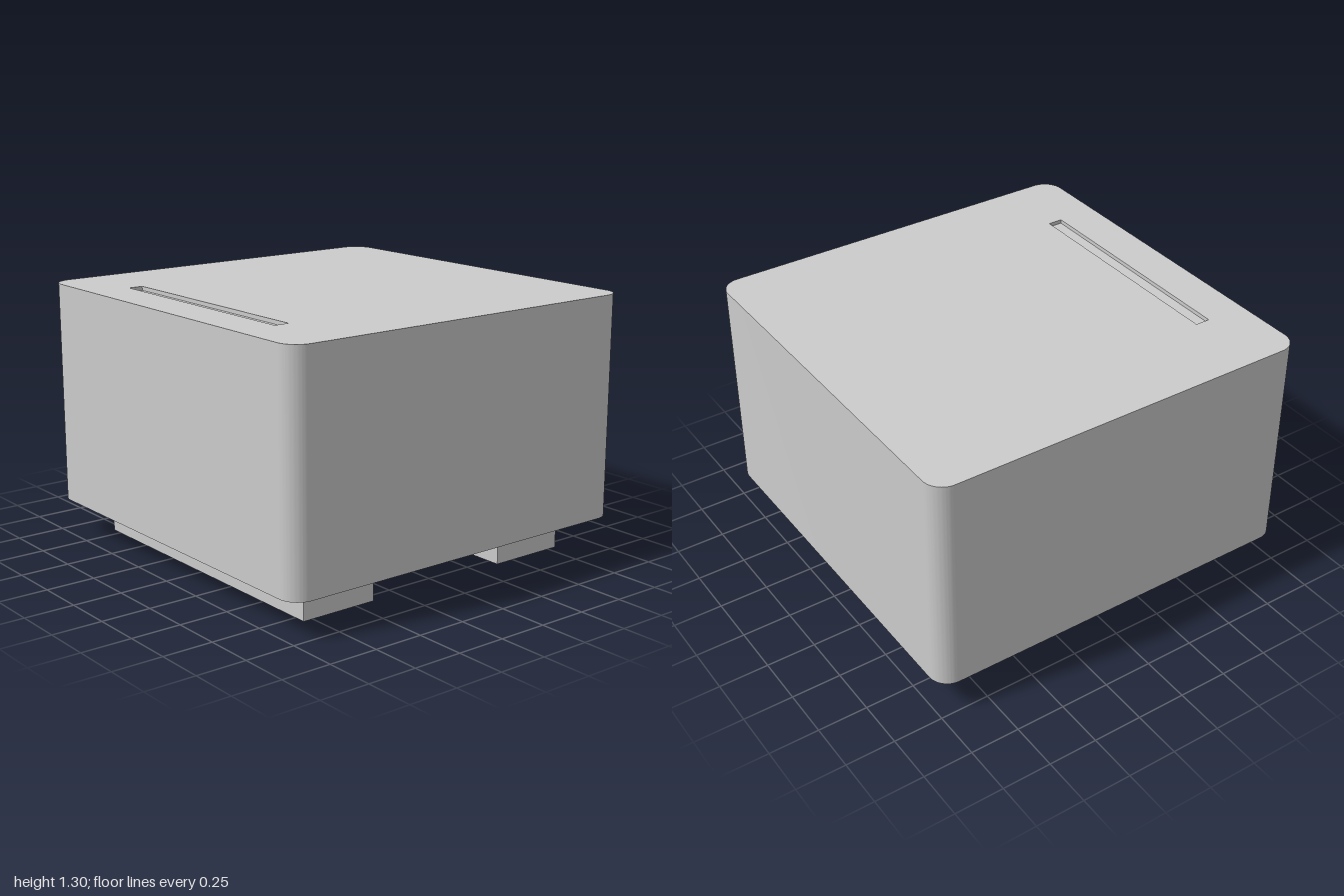
import * as THREE from 'three';
import { toCreasedNormals } from 'three/addons/utils/BufferGeometryUtils.js';

const BOTTOM = 0.18, TOP = 1.305, SLOT_DEPTH = 0.02;

// Square plan with rounded corners
function roundedSquare(h, r) {
  const s = new THREE.Shape();
  s.absarc(h - r, h - r, r, 0, Math.PI / 2);
  s.absarc(-h + r, h - r, r, Math.PI / 2, Math.PI);
  s.absarc(-h + r, -h + r, r, Math.PI, Math.PI * 1.5);
  s.absarc(h - r, -h + r, r, Math.PI * 1.5, Math.PI * 2);
  s.closePath();
  return s;
}

// Extrude a plan upward between two heights
function slab(name, shape, y0, y1, material) {
  let geo = new THREE.ExtrudeGeometry(shape, { depth: y1 - y0, bevelEnabled: false, curveSegments: 12 });
  geo.rotateX(-Math.PI / 2);
  geo.translate(0, y0, 0);
  geo = toCreasedNormals(geo, Math.PI / 6);
  const mesh = new THREE.Mesh(geo, material);
  mesh.name = name;
  return mesh;
}

export function createModel() {
  const group = new THREE.Group();
  group.name = 'box';
  const material = new THREE.MeshStandardMaterial({ color: 0xcccccc });

  // Main body, up to the floor of the slot
  group.add(slab('body', roundedSquare(1, 0.1), BOTTOM, TOP - SLOT_DEPTH, material));

  // Top layer with the shallow slot cut through it
  const topPlan = roundedSquare(1, 0.1);
  topPlan.holes.push(new THREE.Path([
    [-0.79, -0.6], [-0.79, 0.6], [-0.715, 0.6], [-0.715, -0.6],
  ].map(([x, y]) => new THREE.Vector2(x, y))));
  group.add(slab('slottedTop', topPlan, TOP - SLOT_DEPTH, TOP, material));

  // Two long runners underneath
  for (const side of [-1, 1]) {
    const foot = new THREE.Mesh(new THREE.BoxGeometry(0.405, BOTTOM, 1.62), material);
    foot.position.set(side * 0.5975, BOTTOM / 2, 0);
    foot.name = side > 0 ? 'leftFoot' : 'rightFoot';
    group.add(foot);
  }
  return group;
}
